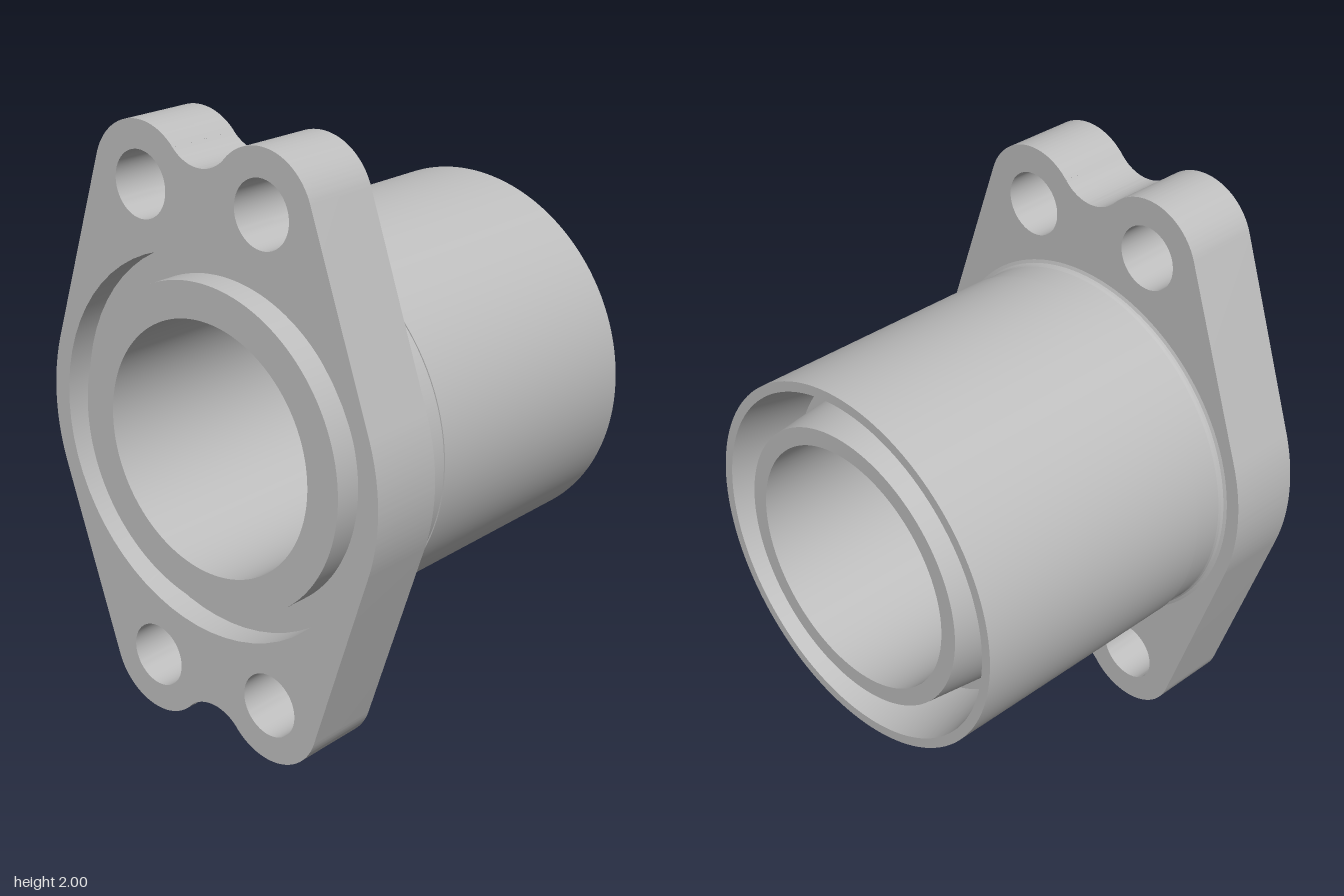
import * as THREE from 'three';
import { mergeGeometries, toCreasedNormals } from 'three/addons/utils/BufferGeometryUtils.js';

const metal = new THREE.MeshStandardMaterial({ color: 0xbfbfbf });
metal.name = 'grey metal';

// Flange dimensions, measured from the bore axis
const LOBE = { x: 0.25, y: 0.8, r: 0.2 };
const WAIST_R = 0.693;
const DIP_R = 0.146;
const DIP_Y = 0.893 + DIP_R;

function flangeShape() {
  const shape = new THREE.Shape();
  const tangent = Math.atan2(LOBE.y, LOBE.x)
    - Math.acos((WAIST_R - LOBE.r) / Math.hypot(LOBE.x, LOBE.y));
  const dip = Math.atan2(DIP_Y - LOBE.y, -LOBE.x);
  // Each half turn: waist arc, lobe, concave dip, lobe
  for (const turn of [0, Math.PI]) {
    const s = turn ? -1 : 1;
    const arc = (x, y, r, a, b, cw = false) => shape.absarc(s * x, s * y, r, a + turn, b + turn, cw);
    arc(0, 0, WAIST_R, -tangent, tangent);
    arc(LOBE.x, LOBE.y, LOBE.r, tangent, dip);
    arc(0, DIP_Y, DIP_R, dip - Math.PI, -dip, true);
    arc(-LOBE.x, LOBE.y, LOBE.r, Math.PI - dip, Math.PI - tangent);
  }
  // Central opening and four bolt holes
  const hole = (x, y, r) => shape.holes.push(new THREE.Path().absarc(x, y, r, 0, Math.PI * 2, true));
  hole(0, 0, 0.63);
  for (const x of [-1, 1]) for (const y of [-1, 1]) hole(x * LOBE.x, y * LOBE.y, 0.108);
  return shape;
}

// Revolve every profile step on its own so that its edges stay sharp
function turned(profile) {
  const strips = [];
  for (let i = 0; i < profile.length - 1; i++) {
    const ends = [profile[i], profile[i + 1]].map(([r, x]) => new THREE.Vector2(r, x));
    strips.push(new THREE.LatheGeometry(ends, 128));
  }
  return mergeGeometries(strips).rotateZ(-Math.PI / 2);
}

export function createModel() {
  const model = new THREE.Group();
  model.name = 'flangedSleeve';
  const add = (name, geometry) => {
    const mesh = new THREE.Mesh(geometry, metal);
    mesh.name = name;
    mesh.position.y = 1;
    model.add(mesh);
  };

  // Mounting flange
  const plate = new THREE.ExtrudeGeometry(flangeShape(), { depth: 0.26, bevelEnabled: false, curveSegments: 32 });
  plate.rotateY(Math.PI / 2).translate(-0.65, 0, 0);
  add('flange', toCreasedNormals(plate, 0.5));

  // Sleeve profile as [radius, x]: rear seal groove, root fillet, barrel, end channel, bore
  add('sleeve', turned([
    [0.42, -0.65], [0.54, -0.65], [0.54, -0.56], [0.645, -0.56], [0.645, -0.39],
    [0.634, -0.386], [0.629, -0.38], [0.627, -0.37],
    [0.627, -0.265], [0.631, -0.265], [0.631, 0.65], [0.597, 0.65],
    [0.552, 0.4], [0.51, 0.4], [0.48, 0.65], [0.42, 0.65], [0.42, -0.65],
  ]));

  return model;
}
